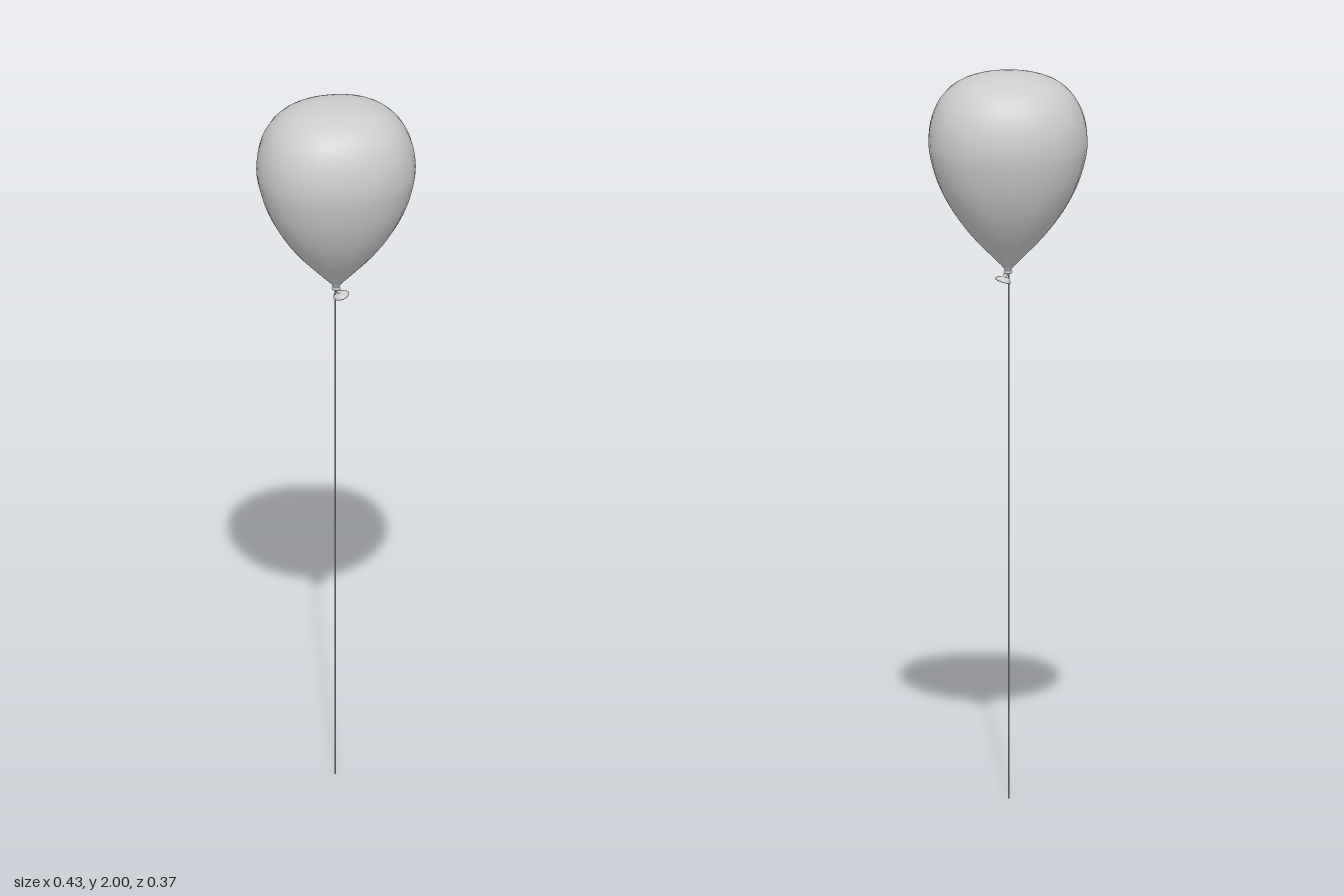
import * as THREE from 'three';
import { mergeVertices } from 'three/addons/utils/BufferGeometryUtils.js';

const material = new THREE.MeshStandardMaterial({ color: 0xcccccc, side: THREE.DoubleSide });

// Smooth lathe through [radius, height] points
function turned(profile, samples, sides) {
  const curve = new THREE.SplineCurve(profile.map(([r, y]) => new THREE.Vector2(r, y)));
  const points = curve.getPoints(samples);
  points.forEach((p) => { p.x = Math.max(p.x, 0); });
  return new THREE.LatheGeometry(points, sides);
}

// Weld the lathe seam and smooth the normals
function weld(geometry) {
  geometry.deleteAttribute('uv');
  geometry.deleteAttribute('normal');
  const welded = mergeVertices(geometry, 1e-5);
  welded.computeVertexNormals();
  return welded;
}

function part(name, geometry) {
  const mesh = new THREE.Mesh(geometry, material);
  mesh.name = name;
  return mesh;
}

export function createModel() {
  const group = new THREE.Group();
  group.name = 'balloon';

  // Inflated body: teardrop profile with a softly squared oval section
  const body = turned([
    [0.009, 1.447], [0.012, 1.462], [0.052, 1.503], [0.105, 1.56], [0.152, 1.625],
    [0.188, 1.695], [0.209, 1.765], [0.214, 1.815], [0.206, 1.873], [0.181, 1.928],
    [0.136, 1.97], [0.07, 1.994], [0, 2.0],
  ], 40, 32);
  const pos = body.attributes.position;
  const n = 2.2;
  for (let i = 0; i < pos.count; i++) {
    const x = pos.getX(i), z = pos.getZ(i);
    const r = Math.hypot(x, z);
    if (r < 1e-6) continue;
    const k = Math.pow(Math.abs(x / r) ** n + Math.abs(z / r) ** n, -1 / n);
    const flat = THREE.MathUtils.lerp(1, 0.868, Math.min(r / 0.05, 1));
    pos.setX(i, x * k);
    pos.setZ(i, z * k * flat);
  }
  group.add(part('body', weld(body)));

  // Tied knot
  const knot = part('knot', new THREE.TorusGeometry(0.008, 0.004, 8, 20));
  knot.rotation.x = Math.PI / 2;
  knot.position.y = 1.45;
  group.add(knot);

  // Flared lip, leaning to one side below the knot
  const lipGeometry = weld(turned([
    [0.004, 0.003], [0.019, -0.003], [0.025, -0.008], [0.023, -0.011],
    [0.014, -0.004], [0.007, 0.004], [0.008, 0.019],
  ], 18, 24));
  const lipPos = lipGeometry.attributes.position;
  for (let i = 0; i < lipPos.count; i++) {
    const y = lipPos.getY(i);
    const lean = THREE.MathUtils.clamp((0.019 - y) / 0.027, 0, 1);
    const x = lipPos.getX(i) * 0.82;
    lipPos.setXYZ(i, x + 0.014 * lean, y + x * 0.3 * lean, lipPos.getZ(i));
  }
  lipGeometry.computeVertexNormals();
  const lip = part('lip', lipGeometry);
  lip.position.y = 1.436;
  group.add(lip);

  // Hanging string
  const string = part('string', new THREE.CylinderGeometry(0.002, 0.002, 1.45, 8));
  string.position.set(-0.002, 0.725, 0);
  group.add(string);

  return group;
}
